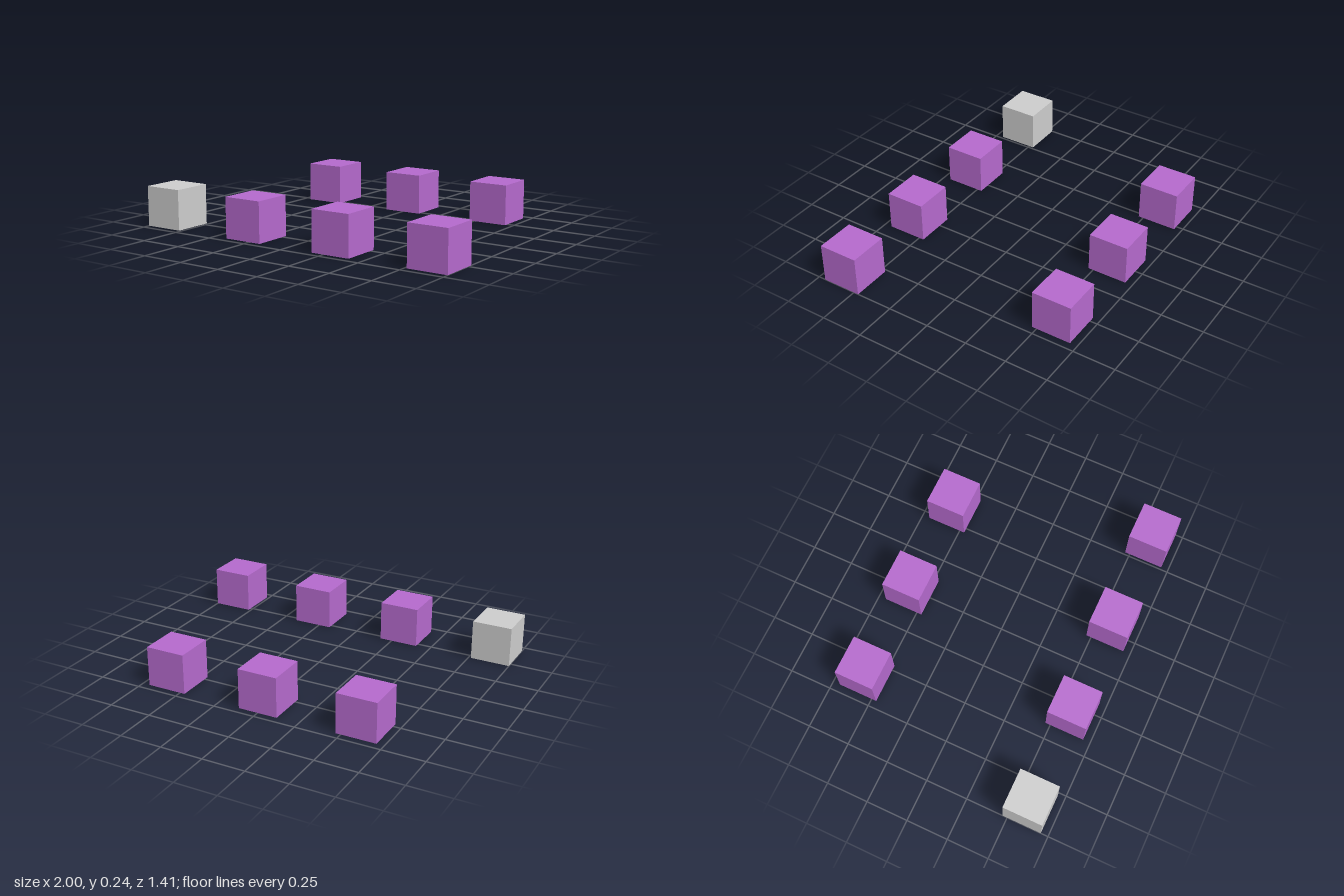
import * as THREE from 'three';

export function createModel() {
  const model = new THREE.Group();
  const step = 2 / 6.8; // spacing between neighbouring cubes along x
  const size = 0.8 * step;
  const geometry = new THREE.BoxGeometry(size, size, size);
  const grey = new THREE.MeshStandardMaterial({ color: 0xcccccc });
  const purple = new THREE.MeshStandardMaterial({ color: 0xb469cc });

  // Seven cubes zigzag between a front row and a back row; the first is grey
  for (let i = 0; i < 7; i++) {
    const inFront = i % 2 === 0;
    const cube = new THREE.Mesh(geometry, i === 0 ? grey : purple);
    cube.name = i === 0 ? 'greyCube' : `${inFront ? 'front' : 'back'}Cube${i}`;
    cube.position.set((i - 3) * step, size / 2, (inFront ? 2 : -2) * step);
    model.add(cube);
  }
  return model;
}
